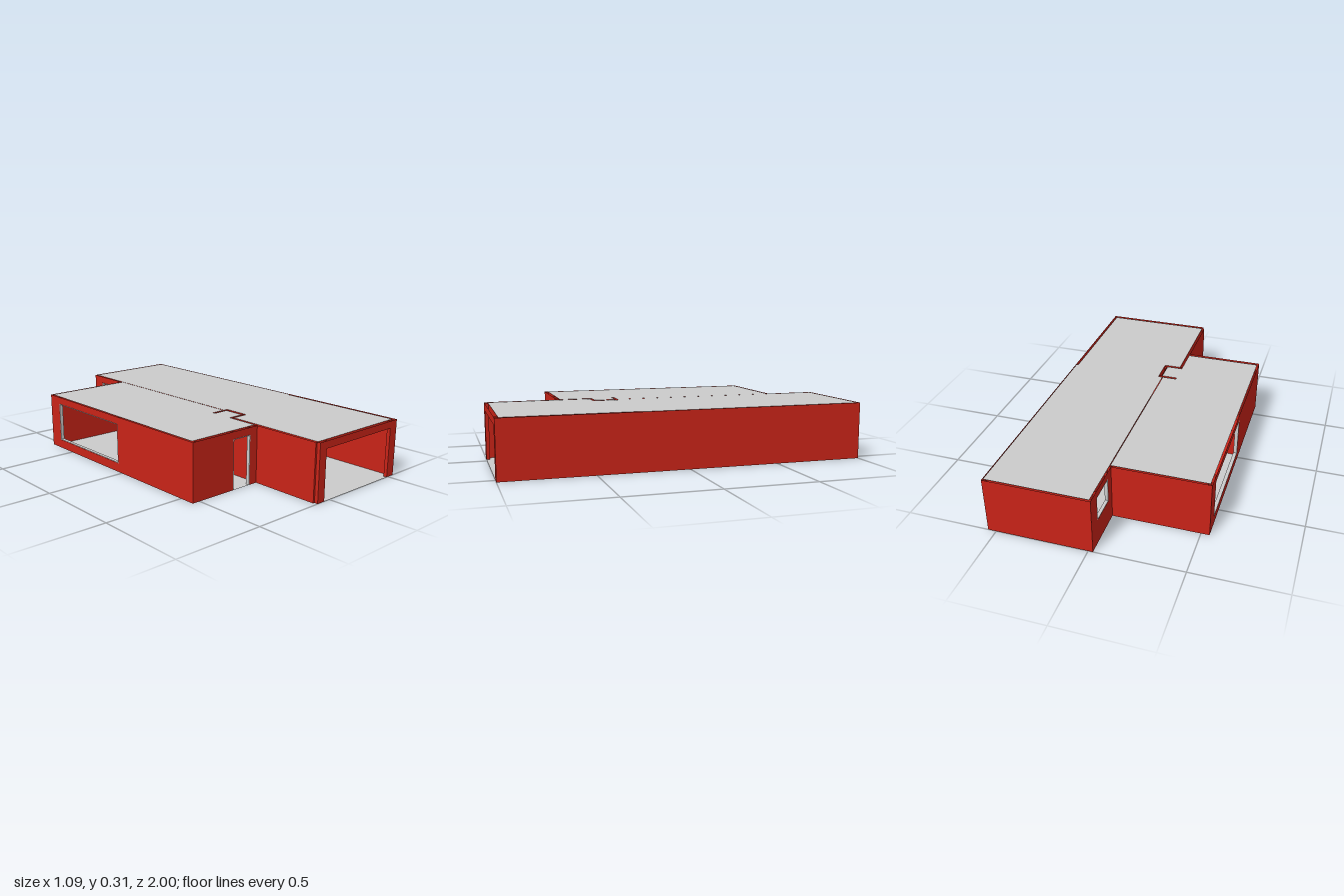
import * as THREE from 'three';

const H = 0.315, HEAD = 0.275;
const red = new THREE.MeshStandardMaterial({ color: 0xc92318, side: THREE.DoubleSide });
const grey = new THREE.MeshStandardMaterial({ color: 0xcccccc, side: THREE.DoubleSide });

// Box without its top and/or bottom (hollow wall piece)
function piece(x0, x1, y0, y1, z0, z1, top, bottom) {
  const g = new THREE.BoxGeometry(x1 - x0, y1 - y0, z1 - z0);
  const idx = Array.from(g.index.array).filter((_, i) => {
    const face = Math.floor(i / 6);
    return (face !== 2 || top) && (face !== 3 || bottom);
  });
  g.setIndex(idx);
  g.clearGroups();
  g.translate((x0 + x1) / 2, (y0 + y1) / 2, (z0 + z1) / 2);
  return g;
}

// Flat polygon in plan at height y
function slab(name, pts, y) {
  const shape = new THREE.Shape(pts.map(([x, z]) => new THREE.Vector2(x, z)));
  const mesh = new THREE.Mesh(new THREE.ShapeGeometry(shape).rotateX(Math.PI / 2), grey);
  mesh.position.y = y;
  mesh.name = name;
  return mesh;
}

const rect = (x0, x1, z0, z1) => [[x0, z0], [x1, z0], [x1, z1], [x0, z1]];

// Hollow wall over a plan rectangle, with one optional opening along its length
function wall(name, x0, x1, z0, z1, open) {
  const group = new THREE.Group();
  group.name = name;
  const alongX = x1 - x0 > z1 - z0;
  const [s, e] = alongX ? [x0, x1] : [z0, z1];
  const span = (a, b) => (alongX ? [a, b, z0, z1] : [x0, x1, a, b]);
  const add = (part, a, b, y0, y1, top = false, bottom = false, mat = red) => {
    const [p, q, r, t] = span(a, b);
    const mesh = new THREE.Mesh(piece(p, q, y0, y1, r, t, top, bottom), mat);
    mesh.name = part;
    group.add(mesh);
  };
  if (!open) {
    add('wallPanel', s, e, 0, H);
    return group;
  }
  const { a, b, sill = 0, frame = true } = open;
  add('wallPanel', s, a, 0, H);
  add('wallPanel', b, e, 0, H);
  add('lintel', a, b, HEAD, H, false, true);
  if (sill > 0) add('sill', a, b, 0, sill, true, false);
  else group.add(slab('threshold', rect(...span(a, b)), 0));
  // Thin lining around doors and windows
  if (frame) {
    const f = 0.004;
    add('frameSide', a, a + f, sill, HEAD - 0.001, true, true, grey);
    add('frameSide', b - f, b, sill, HEAD - 0.001, true, true, grey);
    add('frameHead', a + f, b - f, HEAD - f, HEAD - 0.001, true, true, grey);
    if (sill > 0) add('frameSill', a + f, b - f, sill + 0.001, sill + f, true, true, grey);
  }
  return group;
}

export function createModel() {
  const model = new THREE.Group();
  model.name = 'house';

  const walls = [
    // Outer walls
    ['leftOuterWall', 0.525, 0.545, -1, 1],
    ['backWall', -0.025, 0.525, -1, -0.98],
    ['bedroomSideWall', -0.025, -0.007, -0.98, -0.71, { a: -0.92, b: -0.76, sill: 0.137 }],
    ['livingBackWall', -0.525, -0.025, -0.71, -0.69],
    ['rightOuterWall', -0.545, -0.525, -0.71, 0.59, { a: -0.62, b: -0.03, sill: 0.05 }],
    ['frontWall', -0.525, -0.1, 0.57, 0.59, { a: -0.27, b: -0.15 }],
    ['garageSideWall', -0.1, -0.085, 0.4, 0.98],
    ['garageFrontWall', -0.09, 0.525, 0.98, 1, { a: -0.04, b: 0.49, frame: false }],
    // Closet recess
    ['closetFrontWall', -0.1, 0.01, 0.385, 0.4],
    ['closetSideWall', -0.005, 0.01, 0.265, 0.385],
    ['closetBackWall', -0.1, 0.01, 0.25, 0.265],
    // Inner walls
    ['garageInnerWall', 0.01, 0.525, 0.25, 0.265, { a: 0.25, b: 0.37 }],
    ['bedroomFrontWall', -0.115, 0.525, 0.025, 0.04, { a: 0.235, b: 0.355 }],
    ['bedroomInnerWall', -0.025, -0.01, -0.71, 0.025],
    ['roomDivider', -0.525, -0.255, 0.025, 0.04],
    ['bathRightWall', -0.115, -0.1, 0.04, 0.25, { a: 0.09, b: 0.2 }],
    ['bathLeftWall', 0.125, 0.14, 0.04, 0.25],
  ];
  walls.forEach((w) => model.add(wall(...w)));

  // Floors stop at the inner wall faces
  const floors = [
    ['bedroomFloor', rect(-0.01, 0.525, -0.98, 0.025)],
    ['livingFloor', rect(-0.525, -0.025, -0.69, 0.025)],
    ['passageFloor', rect(-0.255, -0.115, 0.025, 0.04)],
    ['entryFloor', [[-0.525, 0.04], [-0.115, 0.04], [-0.115, 0.265], [-0.005, 0.265],
      [-0.005, 0.385], [-0.1, 0.385], [-0.1, 0.57], [-0.525, 0.57]]],
    ['bathFloor', rect(-0.1, 0.125, 0.04, 0.25)],
    ['utilityFloor', rect(0.14, 0.525, 0.04, 0.25)],
    ['garageFloor', [[0.01, 0.265], [0.525, 0.265], [0.525, 0.98], [-0.085, 0.98],
      [-0.085, 0.4], [0.01, 0.4]]],
  ];
  floors.forEach(([name, pts]) => model.add(slab(name, pts, 0)));

  // Flat roofs leave a narrow open rim along the walls
  model.add(slab('rightRoof', [[-0.535, -0.7], [-0.018, -0.7], [-0.018, 0.25], [-0.1, 0.25],
    [-0.1, 0.265], [-0.01, 0.265], [-0.01, 0.385], [-0.1, 0.385], [-0.1, 0.57], [-0.535, 0.57]], H));
  model.add(slab('leftRoof', [[-0.015, -0.99], [0.54, -0.99], [0.54, 0.25], [0.53, 0.25],
    [0.53, 0.98], [-0.085, 0.98], [-0.085, 0.4], [0.01, 0.4], [0.01, 0.25], [-0.015, 0.25]], H));

  return model;
}
